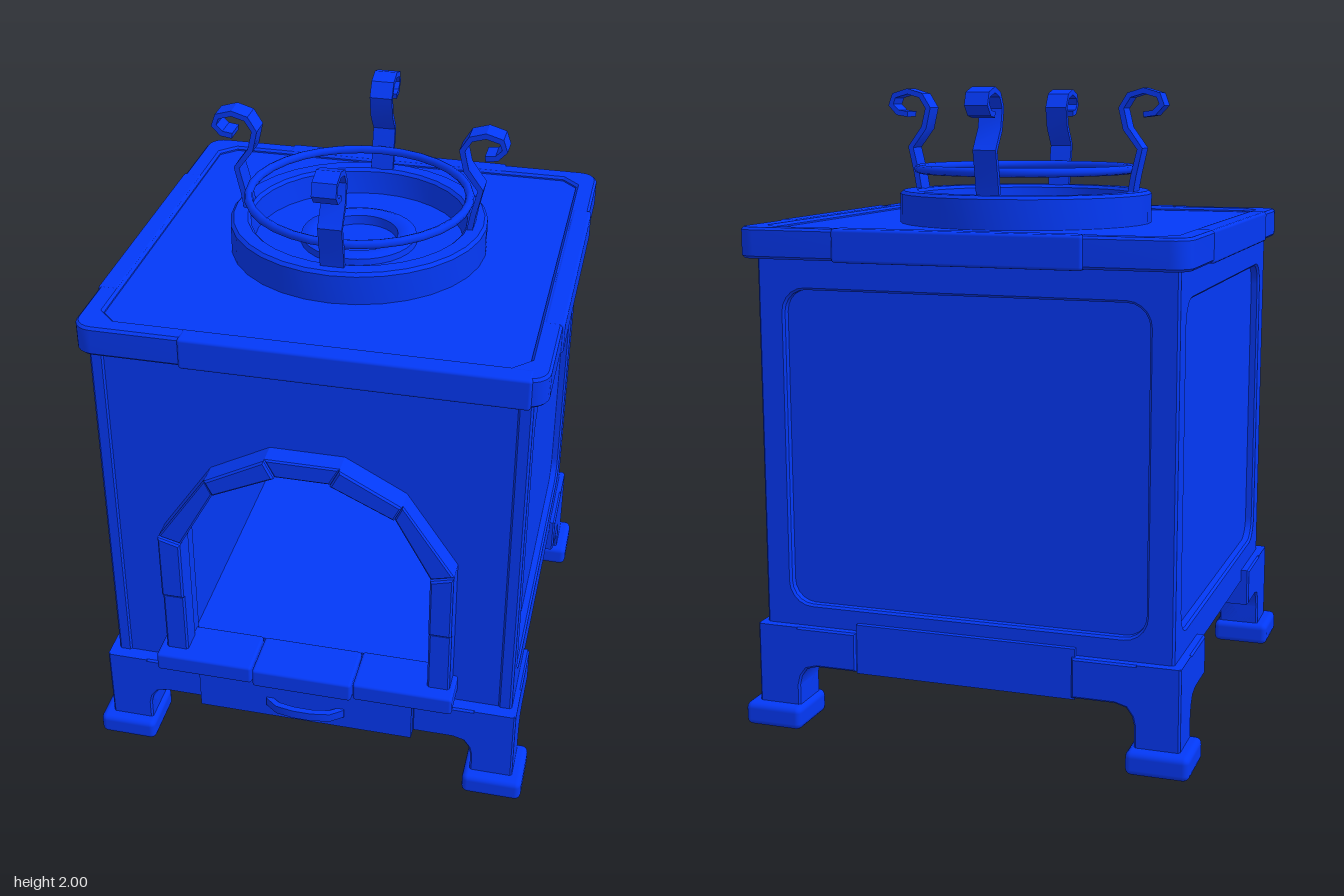
import * as THREE from 'three';
import { toCreasedNormals } from 'three/addons/utils/BufferGeometryUtils.js';
import { RoundedBoxGeometry } from 'three/addons/geometries/RoundedBoxGeometry.js';

const CX = 0.004; // middle of the body in x
const CZ = -0.042; // middle of the top plate in z

export function createModel() {
  const root = new THREE.Group();
  root.name = 'stove';
  const mat = new THREE.MeshStandardMaterial({ color: 0x0339f8 });

  const add = (name, geo, parent = root) => {
    const mesh = new THREE.Mesh(geo, mat);
    mesh.name = name;
    parent.add(mesh);
    return mesh;
  };
  // box given by its limits, optionally rounded
  const box = (name, x0, x1, y0, y1, z0, z1, r = 0, parent = root) => {
    const s = [x1 - x0, y1 - y0, z1 - z0];
    const geo = r ? new RoundedBoxGeometry(...s, 2, r) : new THREE.BoxGeometry(...s);
    return add(name, geo.translate((x0 + x1) / 2, (y0 + y1) / 2, (z0 + z1) / 2), parent);
  };
  const poly = (pts) => new THREE.Shape(pts.map(([x, y]) => new THREE.Vector2(x, y)));
  const rect = (x0, x1, y0, y1) => poly([[x0, y0], [x1, y0], [x1, y1], [x0, y1]]);
  // rectangle with rounded (steps > 1) or chamfered (steps = 1) corners
  const roundRect = (x0, x1, y0, y1, r, steps = 5) => {
    const pts = [];
    [[x1 - r, y1 - r], [x0 + r, y1 - r], [x0 + r, y0 + r], [x1 - r, y0 + r]].forEach(([cx, cy], q) => {
      for (let i = 0; i <= steps; i++) {
        const a = (q + i / steps) * Math.PI / 2;
        pts.push([cx + r * Math.cos(a), cy + r * Math.sin(a)]);
      }
    });
    return poly(pts);
  };
  // extrusion filling z = 0..depth, bevel cut inwards
  const extrude = (shape, depth, b = 0) => toCreasedNormals(new THREE.ExtrudeGeometry(shape, {
    depth: depth - 2 * b, bevelEnabled: b > 0, bevelThickness: b, bevelSize: b, bevelOffset: -b, bevelSegments: 1,
  }).translate(0, 0, b), 0.5);

  // side and back walls: frame around a recessed panel
  const wall = (name, width, x, z, turn) => {
    const g = new THREE.Group();
    g.name = name;
    const frame = rect(-width / 2, width / 2, 0.285, 1.5);
    frame.holes.push(roundRect(-0.575, 0.575, 0.4, 1.393, 0.07));
    add(name + 'Frame', extrude(frame, 0.045, 0.007).translate(0, 0, -0.045), g);
    box(name + 'Panel', -width / 2 + 0.02, width / 2 - 0.02, 0.29, 1.49, -0.06, -0.028, 0, g);
    g.position.set(x, 0, z);
    g.rotation.y = turn;
    root.add(g);
  };
  wall('leftWall', 1.318, CX + 0.662, -0.0235, Math.PI / 2);
  wall('rightWall', 1.318, CX - 0.662, -0.0235, -Math.PI / 2);
  wall('backWall', 1.324, CX, -0.6825, Math.PI);
  box('bodyFloor', -0.65, 0.65, 0.288, 0.32, -0.67, 0.625);

  // front wall with arched opening, firebox chamber behind it
  const mirror = (pts) => [...pts, ...pts.map(([x, y]) => [-x, y]).reverse()];
  const front = rect(-0.625, 0.625, 0.29, 1.5);
  front.holes.push(poly(mirror([[0.40, 0.405], [0.40, 0.865], [0.285, 1.075], [0.09, 1.168]])));
  add('frontWall', extrude(front, 0.06).translate(CX, 0, 0.57));
  const chamber = rect(-0.61, 0.61, 0.3, 1.495);
  chamber.holes.push(rect(-0.41, 0.41, 0.41, 1.25));
  add('firebox', extrude(chamber, 1.07).translate(CX, 0, -0.5));
  box('fireboxBack', -0.5, 0.5, 0.35, 1.3, -0.53, -0.5);

  // arch stones, one per facet, uprights split in two
  const inner = mirror([[0.395, 0.40], [0.395, 0.65], [0.395, 0.86], [0.28, 1.07], [0.085, 1.163]]);
  const outer = mirror([[0.467, 0.40], [0.467, 0.65], [0.467, 0.88], [0.305, 1.12], [0.115, 1.223]]);
  for (let i = 0; i < inner.length - 1; i++) {
    const stone = poly([inner[i], outer[i], outer[i + 1], inner[i + 1]]);
    add('archStone', extrude(stone, i % 2 ? 0.09 : 0.08, 0.006).translate(CX, 0, 0.62));
  }
  // sill stones
  box('sillLeft', 0.167, 0.487, 0.365, 0.43, 0.58, 0.745, 0.01);
  box('sillMiddle', -0.163, 0.163, 0.36, 0.428, 0.58, 0.75, 0.01);
  box('sillRight', -0.485, -0.167, 0.365, 0.43, 0.58, 0.745, 0.01);

  // ash drawer housing running through to the back, with a curved handle
  box('ashDrawer', -0.358, 0.352, 0.197, 0.355, -0.70, 0.70);
  const grip = poly(mirror([[0.13, 0.69], [0.13, 0.705], [0.09, 0.735], [0.03, 0.745]])
    .concat(mirror([[-0.12, 0.69], [-0.085, 0.715], [-0.03, 0.725]])));
  add('drawerHandle', extrude(grip, 0.03).rotateX(Math.PI / 2).translate(0, 0.275, 0));

  // legs: two bracket arms meeting at a post, on a padded foot
  const bracket = poly([[0, 0.05], [0, 0.33], [-0.335, 0.33], [-0.335, 0.205], [-0.20, 0.205],
    [-0.165, 0.195], [-0.147, 0.17], [-0.14, 0.14], [-0.14, 0.05]]);
  for (const sx of [1, -1]) {
    for (const sz of [1, -1]) {
      const g = new THREE.Group();
      g.name = (sz > 0 ? 'front' : 'back') + (sx > 0 ? 'Left' : 'Right') + 'Leg';
      // built for the +x +z corner, then turned to its own corner
      add('bracketArm', extrude(bracket, 0.14, 0.006).translate(0, 0, -0.14), g);
      add('bracketArm', extrude(bracket, 0.14, 0.006).rotateY(-Math.PI / 2), g);
      box('foot', -0.16, 0.035, 0, 0.075, -0.155, 0.037, 0.02, g);
      g.position.set(sx * 0.685, 0, sz > 0 ? 0.675 : -0.712);
      g.rotation.y = sz > 0 ? (sx > 0 ? 0 : -Math.PI / 2) : (sx > 0 ? Math.PI / 2 : Math.PI);
      root.add(g);
    }
  }

  // top plate with raised rim and slightly proud edge stones
  const rim = roundRect(-0.702, 0.702, -0.705, 0.705, 0.06);
  rim.holes.push(roundRect(-0.637, 0.637, -0.643, 0.643, 0.05, 1));
  add('topRim', extrude(rim, 0.095, 0.008).rotateX(-Math.PI / 2).translate(CX, 1.49, CZ));
  box('topPlate', CX - 0.66, CX + 0.66, 1.493, 1.572, CZ - 0.66, CZ + 0.66);
  box('frontEdgeStone', -0.37, 0.66, 1.486, 1.587, 0.607, 0.672, 0.01);
  box('backEdgeStone', -0.39, 0.385, 1.486, 1.587, -0.755, -0.69, 0.01);
  box('leftEdgeStone', 0.65, 0.713, 1.486, 1.587, -0.44, 0.34, 0.01);
  box('rightEdgeStone', -0.702, -0.637, 1.486, 1.587, -0.43, 0.42, 0.01);

  // burner: outer collar, bowl floor and inner ring
  const burner = new THREE.Group();
  burner.name = 'burner';
  burner.position.set(CX, 0, -0.07);
  root.add(burner);
  const profile = [[0.41, 1.56], [0.41, 1.665], [0.40, 1.675], [0.355, 1.675], [0.345, 1.665], [0.335, 1.59],
    [0.188, 1.588], [0.185, 1.608], [0.165, 1.616], [0.14, 1.616], [0.125, 1.608], [0.122, 1.578], [0, 1.578]];
  add('collar', toCreasedNormals(new THREE.LatheGeometry(
    profile.map(([r, y]) => new THREE.Vector2(r, y)), 32), 0.6), burner);
  add('potRing', new THREE.TorusGeometry(0.35, 0.014, 8, 32).rotateX(Math.PI / 2).translate(0, 1.743, 0), burner);

  // curled pot supports: a strap of even thickness along a path
  const path = [[0.35, 1.59], [0.362, 1.677], [0.37, 1.725], [0.39, 1.81], [0.343, 1.873], [0.328, 1.937],
    [0.353, 1.977], [0.4, 1.991], [0.448, 1.977], [0.459, 1.947], [0.435, 1.922], [0.40, 1.917]];
  const side = (s) => path.map(([x, y], i) => {
    const a = path[Math.max(i - 1, 0)], b = path[Math.min(i + 1, path.length - 1)];
    const dx = b[0] - a[0], dy = b[1] - a[1], l = Math.hypot(dx, dy);
    return [x - s * dy / l, y + s * dx / l];
  });
  const strap = extrude(poly([...side(0.009), ...side(-0.009).reverse()]), 0.074).translate(0, 0, -0.037);
  for (let i = 0; i < 4; i++) add('potSupport', strap, burner).rotation.y = i * Math.PI / 2;

  return root;
}
